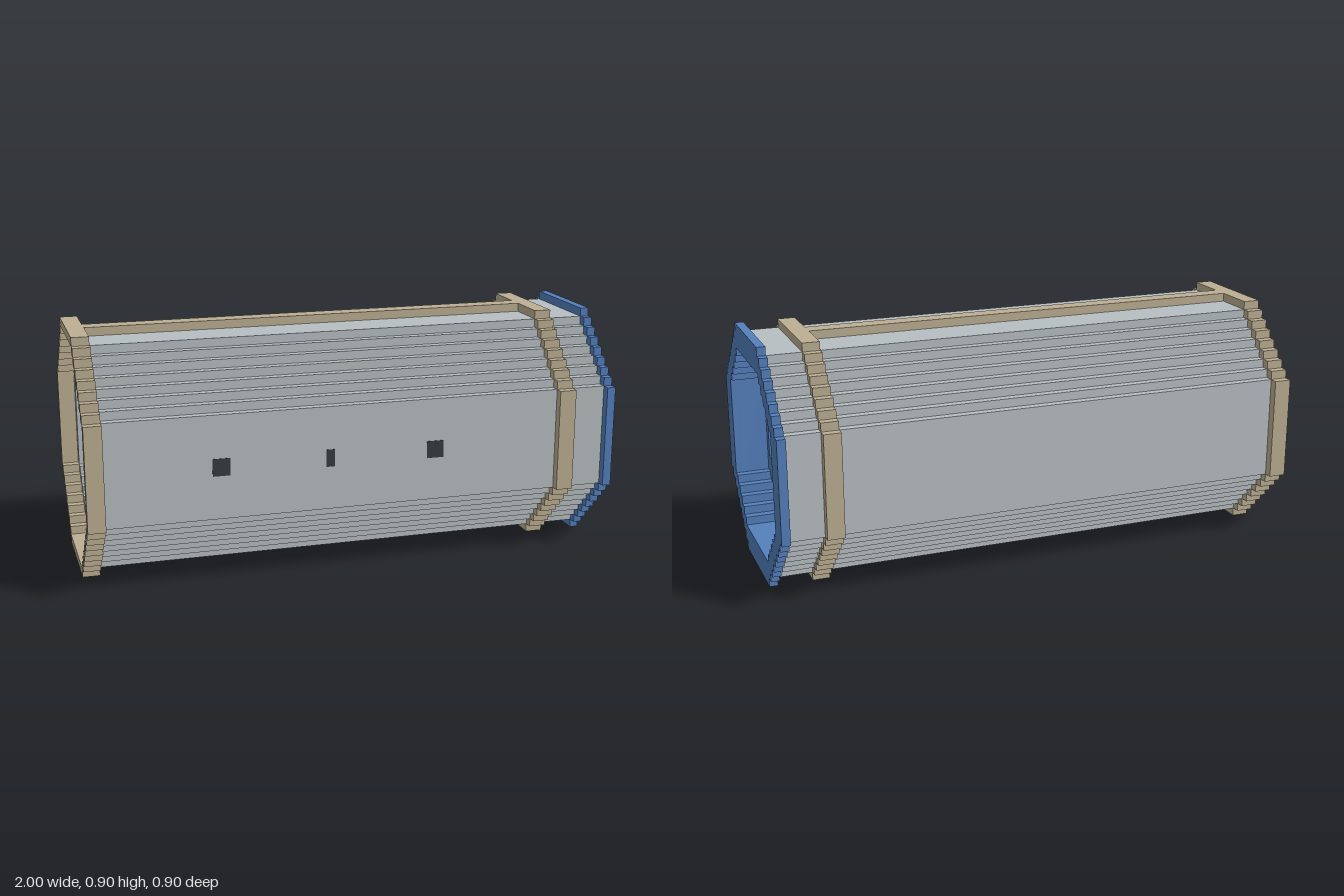
import * as THREE from 'three';

const V = 2 / 62; // one block

const mat = (name, color) => {
  const m = new THREE.MeshStandardMaterial({ color });
  m.name = name;
  return m;
};

// Corner points of a stair-stepped octagon: half size h, half flat f (in blocks)
function steppedOctagon(h, f) {
  const quarter = [];
  for (let i = 0; i <= h - f; i++) {
    quarter.push([h - i, f + i]);
    if (i < h - f) quarter.push([h - i - 1, f + i]);
  }
  const pts = [];
  for (let q = 0; q < 4; q++) {
    for (const [x, y] of quarter) {
      const [a, b] = [[x, y], [-y, x], [-x, -y], [y, -x]][q];
      pts.push(new THREE.Vector2(a * V, b * V));
    }
  }
  return pts;
}

export function createModel() {
  const group = new THREE.Group();
  const grey = mat('hull grey', 0xb7bfc2);
  const tan = mat('band tan', 0xbcaf93);
  const blue = mat('nozzle blue', 0x5480be);
  const dark = mat('window dark', 0x343b3c);

  const add = (name, geometry, material) => {
    const mesh = new THREE.Mesh(geometry, material);
    mesh.name = name;
    group.add(mesh);
    return mesh;
  };

  // Hollow stepped ring running along x from block x0 to block x1
  const ring = (name, x0, x1, outer, inner, material) => {
    const shape = new THREE.Shape(steppedOctagon(...outer));
    shape.holes.push(new THREE.Path(steppedOctagon(...inner)));
    const g = new THREE.ExtrudeGeometry(shape, { depth: (x1 - x0) * V, bevelEnabled: false });
    g.rotateY(Math.PI / 2);
    g.translate(-1 + x0 * V, 14 * V, 0);
    return add(name, g, material);
  };

  // Box from block corner (x0, y0, z0) to (x1, y1, z1)
  const box = (name, [x0, y0, z0], [x1, y1, z1], material) => {
    const g = new THREE.BoxGeometry((x1 - x0) * V, (y1 - y0) * V, (z1 - z0) * V);
    g.translate(-1 + (x0 + x1) / 2 * V, (y0 + y1) / 2 * V, (z0 + z1) / 2 * V);
    return add(name, g, material);
  };

  // Hull tube, open at the right end
  ring('hull', 2, 61, [13, 6], [12, 6], grey);

  // Raised bands and the spine joining them
  ring('endBand', 0, 2, [14, 6], [13, 6], tan);
  ring('middleBand', 55, 57, [14, 6], [13, 6], tan);
  box('topSpine', [2, 27, -1], [55, 28, 1], tan);

  // Flange around the nozzle mouth
  ring('nozzleFlange', 61, 62, [14, 6], [11, 6], blue);

  // Nozzle funnel, stepping inward to a small square hole
  const depth = 3;
  let outer = [12, 6];
  let x = 61;
  for (let h = 11; h >= 2; h--) {
    const inner = [h, h === 11 ? 6 : Math.max(2, Math.round(h * 0.43))];
    ring('nozzleStep', x - depth, x, outer, inner, blue);
    outer = inner;
    x -= depth;
  }

  // Windows through the front wall
  for (const [x0, x1] of [[14, 16], [27, 28], [39, 41]]) {
    box('window', [x0, 13, 11.95], [x1, 15, 13.05], dark);
  }

  return group;
}
